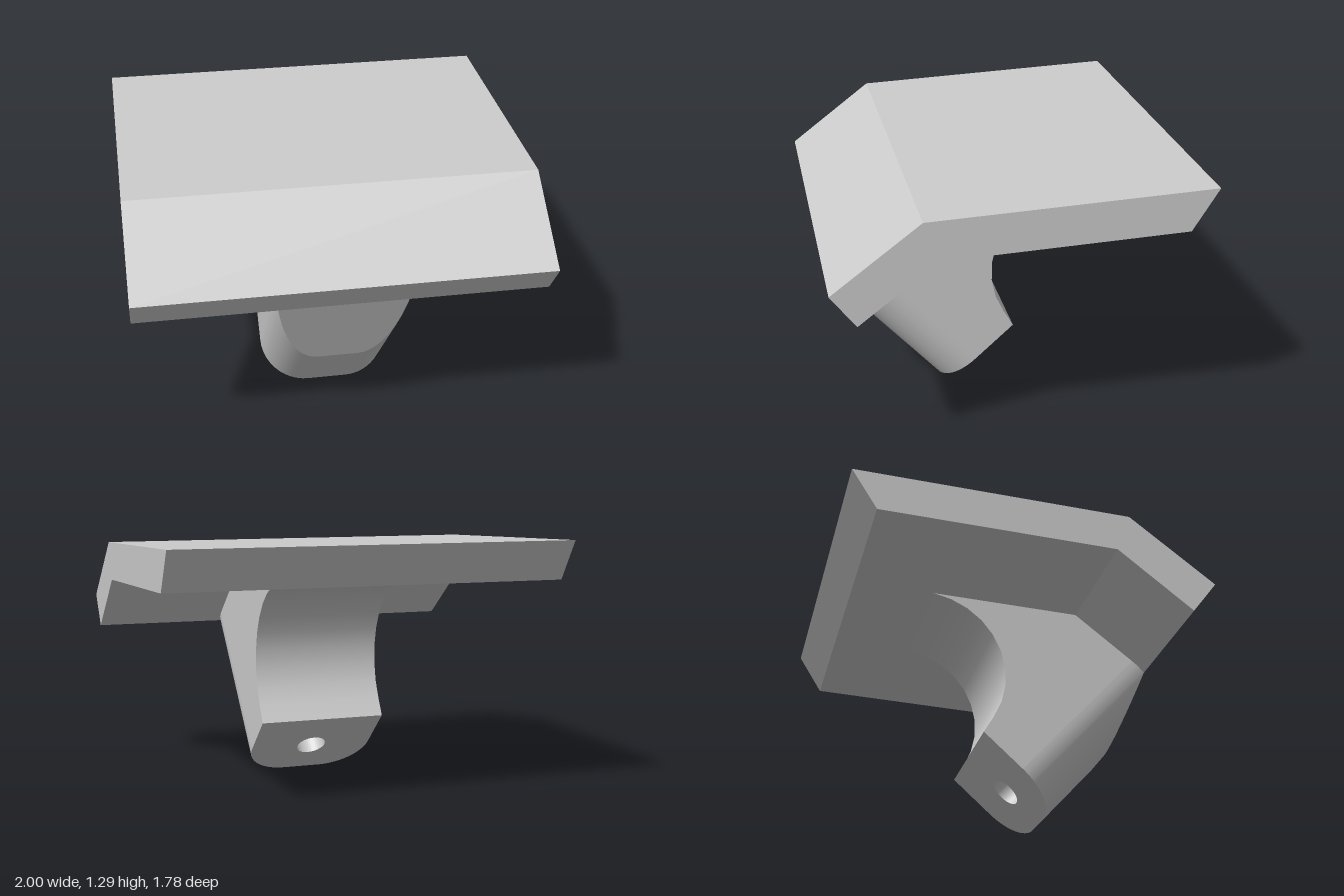
import * as THREE from 'three';
import { toCreasedNormals } from 'three/addons/utils/BufferGeometryUtils.js';

// Side profiles are 2D points: x holds world z, y holds world y.
const v = (z, y) => new THREE.Vector2(z, y);
const TILT = THREE.MathUtils.degToRad(47.9);
const ALONG = v(Math.cos(TILT), Math.sin(TILT)); // stem axis
const ACROSS = v(-Math.sin(TILT), Math.cos(TILT)); // front to back of the end face
const TOE = v(0.275, 0);
const DEPTH = 0.495, FLAT = 0.1, ROUND = 0.23, HALF = FLAT + ROUND;
const LIP = v(0.77, 0.765), BEND = v(0.4, 1.05), FACET = v(0.612, 0.38);
const HOLE = 0.077, HOLE_DEPTH = 0.35;

const offset = u => TOE.clone().addScaledVector(ACROSS, u);

// Point where the stem line at depth u meets the line a-b
function meet(u, a, b) {
  const s = offset(u), e = b.clone().sub(a);
  const t = a.clone().sub(s).cross(e) / ALONG.cross(e);
  return s.addScaledVector(ALONG, t);
}

export function createModel() {
  const group = new THREE.Group();
  const material = new THREE.MeshStandardMaterial({ color: 0xcccccc });
  const doubleSided = new THREE.MeshStandardMaterial({ color: 0xcccccc, side: THREE.DoubleSide });
  const add = (name, geometry, parent = group, mat = material) => {
    const mesh = new THREE.Mesh(geometry, mat);
    mesh.name = name;
    parent.add(mesh);
    return mesh;
  };

  // Bent plate
  const plate = new THREE.ExtrudeGeometry(new THREE.Shape([
    v(0.89, 0.925), v(0.467, 1.243), v(-0.89, 1.293), v(-0.765, 1.092), BEND, LIP,
  ]), { depth: 2, bevelEnabled: false });
  add('bentPlate', plate.rotateY(-Math.PI / 2).translate(1, 0, 0));

  const stem = new THREE.Group();
  stem.name = 'stem';
  group.add(stem);

  // Concave back of the stem, from the plate down to the end face
  const heel = offset(DEPTH);
  const centre = v(-0.413, 0.645), radius = 0.435;
  const start = THREE.MathUtils.degToRad(83);
  const end = Math.atan2(heel.y - centre.y, heel.x - centre.x);
  const back = [];
  for (let i = 0; i < 10; i++) {
    const a = start + (end - start) * i / 10;
    back.push(v(centre.x + radius * Math.cos(a), centre.y + radius * Math.sin(a)));
  }
  back.push(heel);

  // Side outline of the stem where its front lies at depth u
  const lipU = LIP.clone().sub(TOE).dot(ACROSS);
  const outline = u => {
    const low = u < lipU ? meet(u, FACET, LIP) : meet(u, LIP, BEND);
    const high = u < lipU ? LIP : low;
    return [offset(u), low, high, BEND, ...back];
  };

  // Stations across the width, following the rounded front corners
  const angles = [Math.acos(1 - lipU / ROUND)];
  for (let i = 0; i <= 14; i++) angles.push(i / 14 * Math.PI / 2);
  angles.sort((a, b) => a - b);
  const right = angles.map(t => ({ x: FLAT + ROUND * Math.sin(t), u: ROUND * (1 - Math.cos(t)) }));
  const stations = [...right.map(s => ({ x: -s.x, u: s.u })).reverse(), ...right];

  const pos = [];
  for (let i = 0; i < stations.length - 1; i++) {
    const [s, n] = [stations[i], stations[i + 1]];
    const [p, q] = [outline(s.u), outline(n.u)];
    for (let j = 0; j < p.length - 1; j++) {
      if (j === 2 || j === 3) continue; // seated against the plate
      const a = [s.x, p[j].y, p[j].x], b = [n.x, q[j].y, q[j].x];
      const c = [n.x, q[j + 1].y, q[j + 1].x], d = [s.x, p[j + 1].y, p[j + 1].x];
      pos.push(...a, ...b, ...c, ...a, ...c, ...d);
    }
  }
  const body = new THREE.BufferGeometry();
  body.setAttribute('position', new THREE.Float32BufferAttribute(pos, 3));
  add('stemBody', toCreasedNormals(body, 0.28), stem);

  // Flat stem sides
  const side = outline(ROUND);
  side.splice(2, 1);
  for (const s of [-1, 1]) {
    const cheek = new THREE.ShapeGeometry(new THREE.Shape(side));
    cheek.rotateY(-Math.PI / 2).translate(s * HALF, 0, 0);
    add(s > 0 ? 'leftSide' : 'rightSide', cheek, stem, doubleSided);
  }

  // End face with a blind bore
  const endFace = new THREE.Group();
  endFace.name = 'endFace';
  endFace.applyMatrix4(new THREE.Matrix4().makeBasis(
    new THREE.Vector3(-1, 0, 0),
    new THREE.Vector3(0, ACROSS.y, ACROSS.x),
    new THREE.Vector3(0, -ALONG.y, -ALONG.x),
  ).setPosition(0, TOE.y, TOE.x));
  stem.add(endFace);

  const face = new THREE.Shape();
  face.moveTo(HALF, DEPTH).lineTo(-HALF, DEPTH).lineTo(-HALF, ROUND);
  face.absarc(-FLAT, ROUND, ROUND, Math.PI, Math.PI * 1.5, false);
  face.absarc(FLAT, ROUND, ROUND, Math.PI * 1.5, Math.PI * 2, false);
  face.holes.push(new THREE.Path().absarc(0, ROUND, HOLE, 0, Math.PI * 2, true));
  add('endPlate', new THREE.ShapeGeometry(face, 16), endFace);

  const bore = new THREE.CylinderGeometry(HOLE, HOLE, HOLE_DEPTH, 32, 1, true);
  bore.rotateX(Math.PI / 2).translate(0, ROUND, -HOLE_DEPTH / 2);
  add('boreWall', bore, endFace, doubleSided);
  add('boreBottom', new THREE.CircleGeometry(HOLE, 32).translate(0, ROUND, -HOLE_DEPTH), endFace);

  return group;
}
